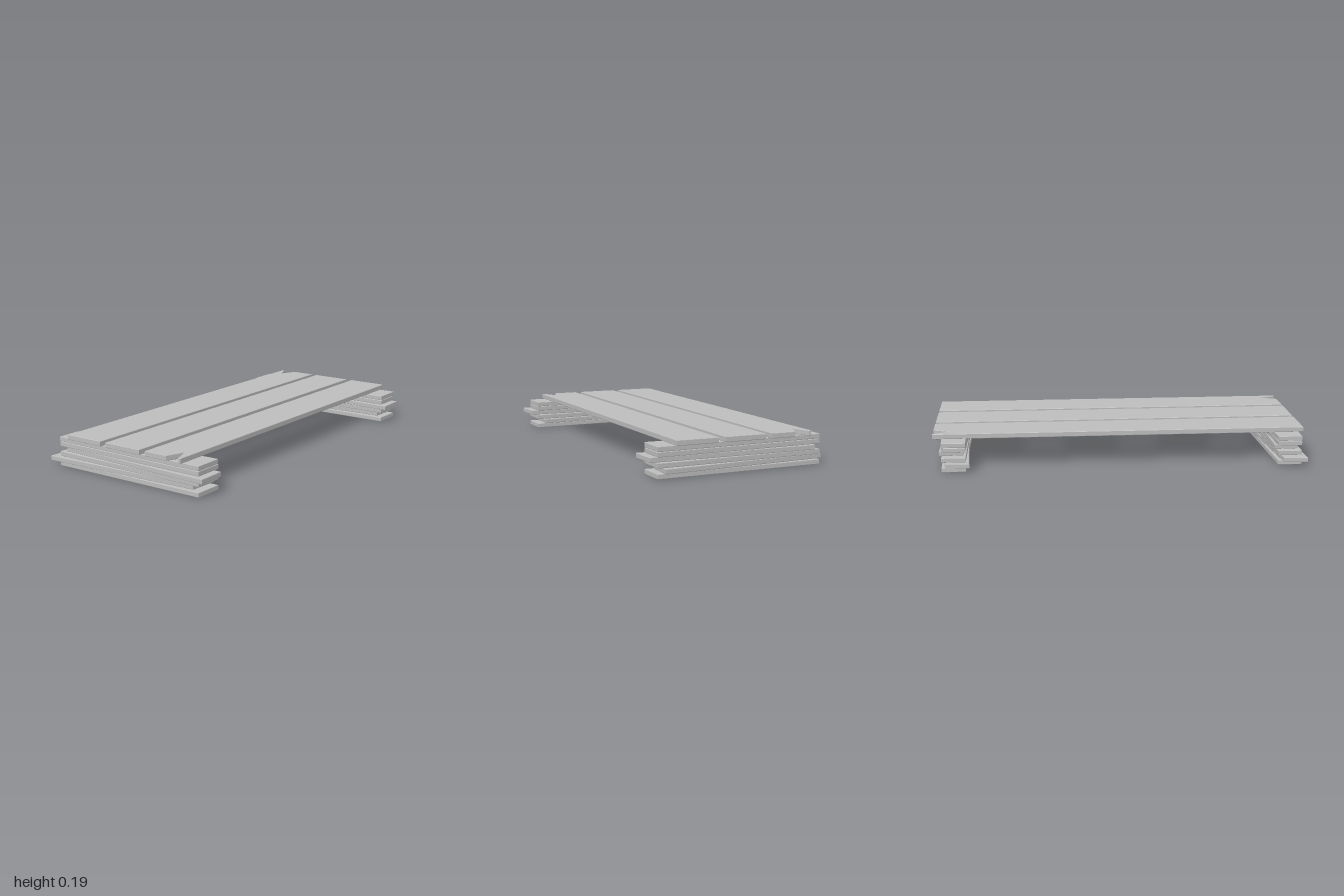
import * as THREE from 'three';

const BEVEL = 0.003;
const PITCH = 0.0265; // height of one stacked layer

// Board with softened edges from an outline of [x, z] corners
function board(name, corners, y, height, material) {
  const shape = new THREE.Shape(corners.map(([x, z]) => new THREE.Vector2(x, -z)));
  const geometry = new THREE.ExtrudeGeometry(shape, {
    depth: height - 2 * BEVEL,
    bevelEnabled: true,
    bevelSize: BEVEL,
    bevelThickness: BEVEL,
    bevelOffset: -BEVEL,
    bevelSegments: 2,
  });
  geometry.rotateX(-Math.PI / 2);
  geometry.translate(0, y + BEVEL, 0);
  const mesh = new THREE.Mesh(geometry, material);
  mesh.name = name;
  return mesh;
}

// Tapered slat: wide front end, narrow back end
function slat(frontX, frontZ, backX, backZ) {
  const turn = (backX - frontX) * 0.15; // ends stay square to a skewed slat
  return [
    [frontX, frontZ + turn], [frontX + 0.156, frontZ],
    [backX + 0.128, backZ], [backX, backZ + turn],
  ];
}

export function createModel() {
  const model = new THREE.Group();
  model.name = 'plankPlatform';
  const wood = new THREE.MeshStandardMaterial({ color: 0xbdbdbd });
  wood.name = 'plain grey';

  // Two stacks of slats; the second and fourth layers lie askew
  const stacks = [
    { name: 'leftStack', straight: 0.819, second: [0.843, 0.43, 0.8, -0.475], fourth: [0.8, 0.495, 0.833, -0.42] },
    { name: 'rightStack', straight: -0.976, second: [-0.957, 0.42, -0.999, -0.497], fourth: [-0.999, 0.495, -0.962, -0.425] },
  ];
  for (const { name, straight, second, fourth } of stacks) {
    const stack = new THREE.Group();
    stack.name = name;
    const plain = [straight, 0.462, straight, -0.455];
    [plain, second, plain, fourth, plain, plain].forEach((layer, i) => {
      stack.add(board('slat' + (i + 1), slat(...layer), i * PITCH, PITCH - 0.0005, wood));
    });
    model.add(stack);
  }

  // Deck planks, the outer two split by a notch at one end
  const deck = new THREE.Group();
  deck.name = 'deck';
  const y = 6 * PITCH;
  const height = 0.028;
  deck.add(board('backPlank', [
    [-1, -0.148], [0.997, -0.148], [0.997, -0.28], [0.905, -0.32],
    [0.997, -0.36], [0.997, -0.372], [-1, -0.372],
  ], y, height, wood));
  deck.add(board('middlePlank', [
    [-1, 0.111], [0.997, 0.111], [0.997, -0.113], [-1, -0.113],
  ], y, height, wood));
  deck.add(board('frontPlank', [
    [-1, 0.372], [0.997, 0.372], [0.997, 0.148], [-1, 0.148],
    [-1, 0.284], [-0.905, 0.32], [-1, 0.357],
  ], y, height, wood));
  model.add(deck);
  return model;
}
